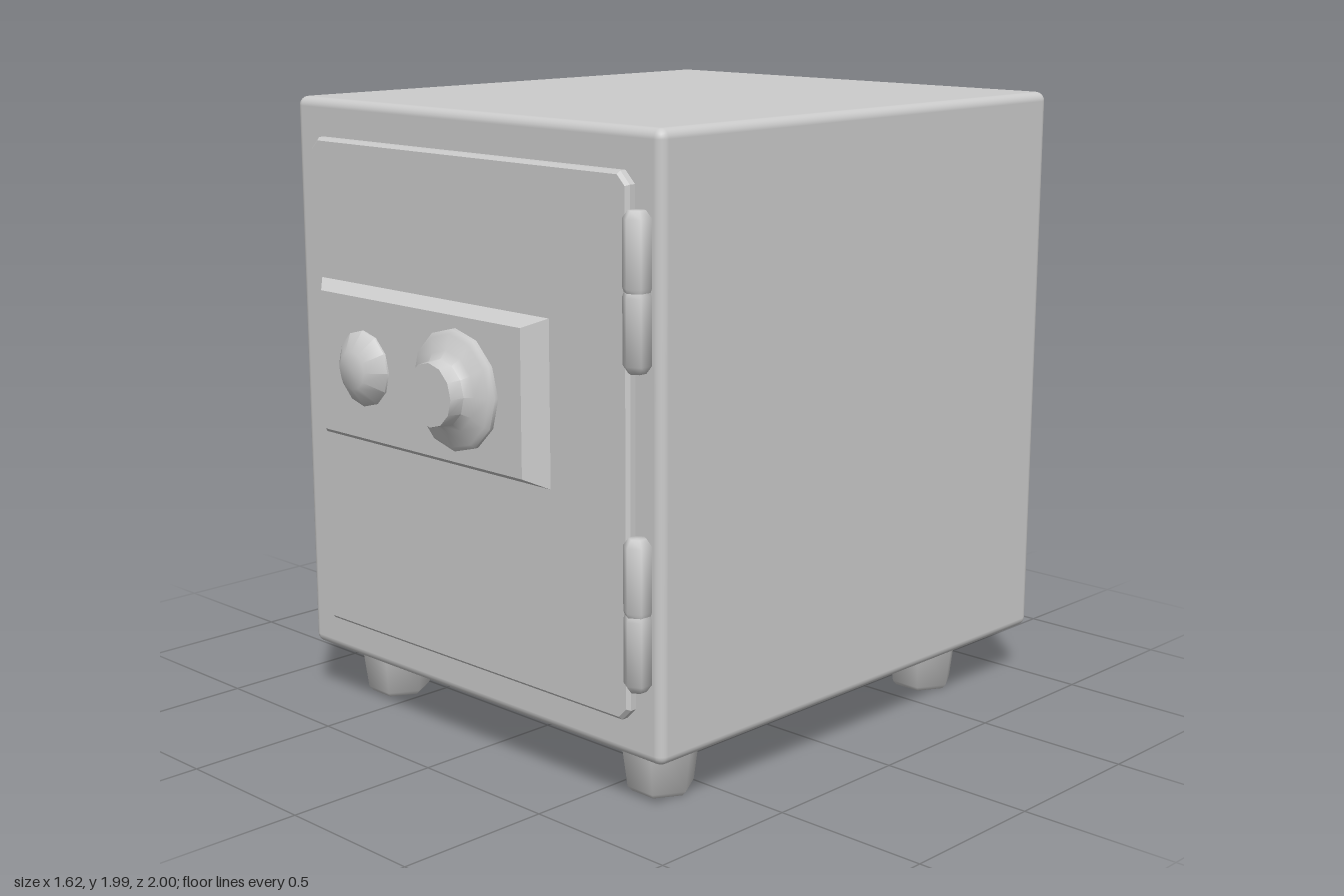
import * as THREE from 'three';
import { RoundedBoxGeometry } from 'three/addons/geometries/RoundedBoxGeometry.js';
import { toCreasedNormals } from 'three/addons/utils/BufferGeometryUtils.js';

const material = new THREE.MeshStandardMaterial({ color: 0xcccccc });

export function createModel() {
  const safe = new THREE.Group();
  safe.name = 'safe';

  const add = (name, geometry, x, y, z) => {
    const mesh = new THREE.Mesh(geometry, material);
    mesh.name = name;
    mesh.position.set(x, y, z);
    safe.add(mesh);
    return mesh;
  };
  // Turned part: [radius, height] pairs from bottom to top
  const turned = (profile, sides, crease = 0.7) => toCreasedNormals(
    new THREE.LatheGeometry(profile.map(([r, h]) => new THREE.Vector2(r, h)), sides), crease);

  // Cabinet
  add('cabinet', new RoundedBoxGeometry(1.62, 1.82, 1.81, 3, 0.03), 0, 1.08, -0.095);

  // Door: plate with clipped corners and a fine bevel
  const w = 0.697, h = 0.78, c = 0.03;
  const outline = new THREE.Shape([
    [-w + c, -h], [w - c, -h], [w, -h + c], [w, h - c],
    [w - c, h], [-w + c, h], [-w, h - c], [-w, -h + c],
  ].map(([x, y]) => new THREE.Vector2(x, y)));
  const door = new THREE.ExtrudeGeometry(outline, {
    depth: 0.04, bevelThickness: 0.01, bevelSize: 0.01, bevelSegments: 1,
  });
  add('door', door, 0.003, 1.08, 0.79);

  // Lock plate: a box whose front face is drawn in
  const plate = new THREE.BoxGeometry(1.07, 0.51, 0.06);
  const p = plate.attributes.position;
  for (let i = 0; i < p.count; i++) {
    if (p.getZ(i) > 0) p.setXY(i, p.getX(i) * 0.868, p.getY(i) * 0.875);
  }
  plate.computeVertexNormals();
  add('lockPlate', plate, -0.135, 1.175, 0.864);

  // Key cover and combination dial, turned to face forward
  const keyCover = turned([[0.12, 0], [0.12, 0.008], [0.06, 0.053], [0, 0.053]], 12, 1);
  add('keyCover', keyCover, -0.39, 1.177, 0.892).rotation.x = Math.PI / 2;
  const dial = turned([
    [0.186, 0], [0.186, 0.014], [0.172, 0.026], [0.125, 0.04],
    [0.102, 0.062], [0.097, 0.108], [0, 0.108],
  ], 12);
  add('combinationDial', dial, 0.046, 1.175, 0.892).rotation.x = Math.PI / 2;

  // Hinges: two six-sided knuckles each
  const knuckle = turned([
    [0, -0.1125], [0.026, -0.1125], [0.042, -0.09], [0.042, 0.1], [0.038, 0.1125], [0, 0.1125],
  ], 6, 1.2);
  for (const y of [0.625, 1.545]) {
    for (const s of [-1, 1]) {
      const part = add('hingeKnuckle', knuckle, 0.75, y + s * 0.1125, 0.843);
      if (s > 0) part.rotation.z = Math.PI;
    }
  }

  // Feet: tapered six-sided stubs with softened bottoms
  const foot = turned([[0, 0], [0.09, 0], [0.103, 0.015], [0.126, 0.19], [0, 0.19]], 6, 1.2);
  for (const x of [-0.615, 0.615]) {
    for (const z of [-0.665, 0.61]) add('foot', foot, x, 0, z).rotation.y = Math.PI / 6;
  }

  return safe;
}
